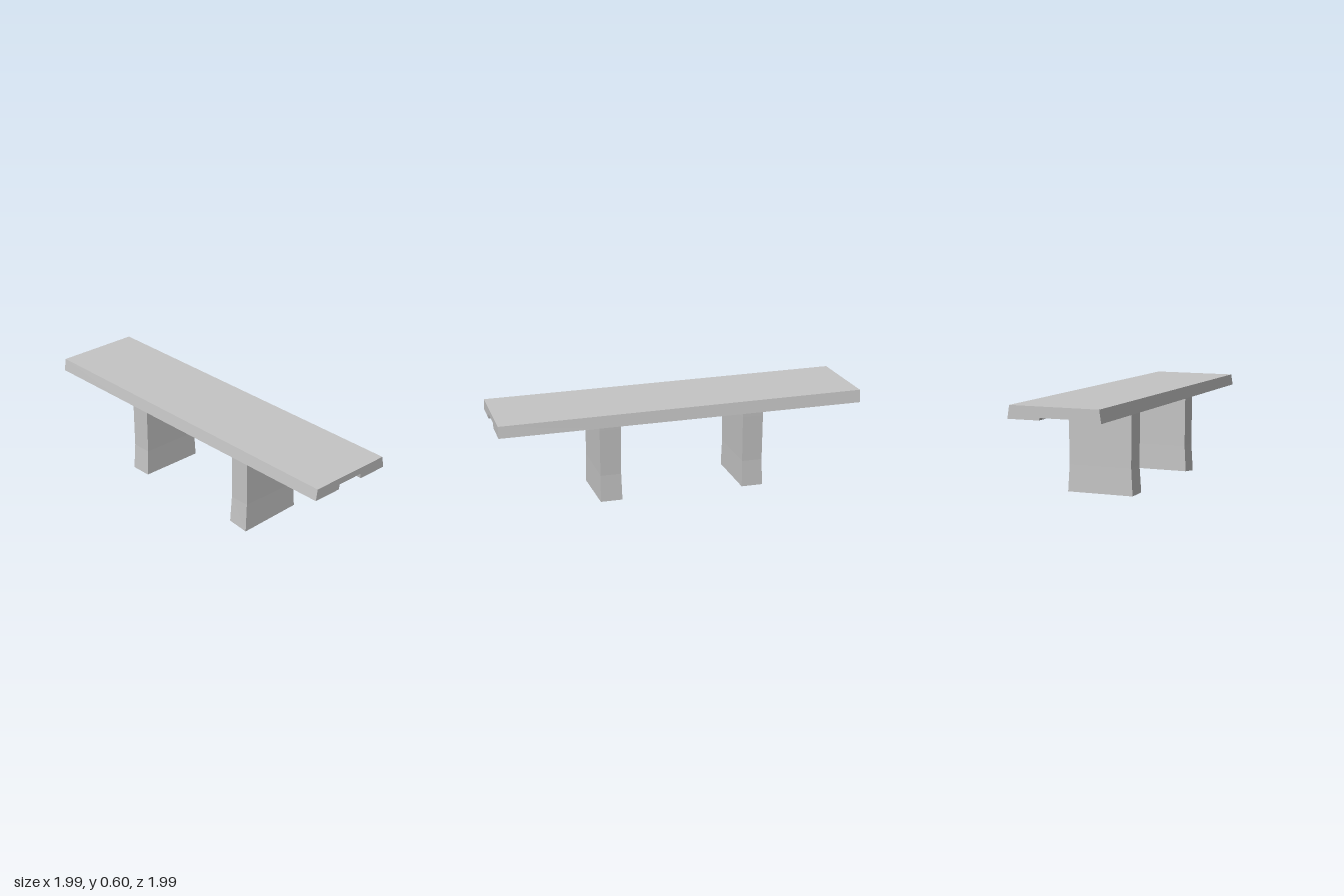
import * as THREE from 'three';

const concrete = new THREE.MeshStandardMaterial({ color: 0xc4c4c4 });
concrete.name = 'concrete';

function rect(PathType, cx, cy, hw, hh) {
  const p = new PathType();
  p.moveTo(cx - hw, cy - hh);
  p.lineTo(cx + hw, cy - hh);
  p.lineTo(cx + hw, cy + hh);
  p.lineTo(cx - hw, cy + hh);
  p.closePath();
  return p;
}

// Slab: cross-sections along its length, with a shallow channel below each end
function makeSlab() {
  const stations = [[-1.128, 0.014], [-0.55, 0], [0.55, 0], [1.123, 0.03]];
  const rings = stations.map(([u, channel]) => {
    const top = 0.588 - 0.0106 * u;
    const low = 0.515 - 0.007 * u;
    return [
      [-0.272, top], [0.266, top], [0.277, low], [0.092, low], [0.086, low + channel],
      [-0.086, low + channel], [-0.092, low], [-0.284, low],
    ].map(([v, y]) => new THREE.Vector3(u, y, v));
  });
  const out = [];
  const tri = (...points) => points.forEach((p) => out.push(p.x, p.y, p.z));
  const n = rings[0].length;
  for (let i = 0; i < rings.length - 1; i++) {
    for (let j = 0; j < n; j++) {
      const k = (j + 1) % n;
      const a = rings[i][j], b = rings[i][k], c = rings[i + 1][k], d = rings[i + 1][j];
      tri(a, b, c);
      tri(a, c, d);
    }
  }
  // End faces, triangulated around the channel
  const cap = (ring, flip) => {
    const faces = THREE.ShapeUtils.triangulateShape(ring.map((p) => new THREE.Vector2(p.z, p.y)), []);
    for (const [a, b, c] of faces) {
      const normal = new THREE.Vector3().crossVectors(
        ring[b].clone().sub(ring[a]), ring[c].clone().sub(ring[a]));
      if ((normal.x > 0) === flip) tri(ring[a], ring[b], ring[c]);
      else tri(ring[a], ring[c], ring[b]);
    }
  };
  cap(rings[0], false);
  cap(rings[rings.length - 1], true);
  const geo = new THREE.BufferGeometry();
  geo.setAttribute('position', new THREE.Float32BufferAttribute(out, 3));
  geo.computeVertexNormals();
  const slab = new THREE.Mesh(geo, concrete);
  slab.name = 'seatSlab';
  return slab;
}

// Hollow block: three cells open below, a waist above the flared foot
function makeBlock(name, u, cornerDrop) {
  const block = new THREE.Group();
  block.name = name;
  const shape = rect(THREE.Shape, 0, 0, 0.065, 0.2);
  shape.holes.push(
    rect(THREE.Path, 0, 0.125, 0.045, 0.05),
    rect(THREE.Path, 0, 0, 0.03, 0.04),
    rect(THREE.Path, 0, -0.125, 0.045, 0.05),
  );
  const geo = new THREE.ExtrudeGeometry(shape, { depth: 1, steps: 2, bevelEnabled: false });
  geo.rotateX(-Math.PI / 2);
  const pos = geo.attributes.position;
  for (let i = 0; i < pos.count; i++) {
    const level = Math.round(pos.getY(i) * 2);
    const x = pos.getX(i), z = pos.getZ(i);
    const scale = [1.035, 0.985, 1][level];
    let y = [0.015, 0.18, 0.465][level];
    if (level === 0 && x > 0.06 && z > 0.19) y -= cornerDrop;
    pos.setXYZ(i, x * scale, y, z * scale);
  }
  geo.computeVertexNormals();
  const body = new THREE.Mesh(geo, concrete);
  body.name = 'blockBody';
  block.add(body);

  // Two shoulders leave a notch under the slab
  for (const side of [-1, 1]) {
    const shoulder = new THREE.Mesh(new THREE.BoxGeometry(0.13, 0.05, 0.12), concrete);
    shoulder.name = 'blockShoulder';
    shoulder.position.set(0, 0.49, side * 0.14);
    block.add(shoulder);
  }
  block.position.x = u;
  return block;
}

export function createModel() {
  const model = new THREE.Group();
  model.name = 'bench';
  const bench = new THREE.Group();
  bench.name = 'benchAssembly';
  bench.add(makeSlab(), makeBlock('frontBlock', 0.445, 0.015), makeBlock('backBlock', -0.455, 0));
  // The bench lies diagonally
  bench.rotation.y = -Math.PI / 4;
  model.add(bench);
  return model;
}
